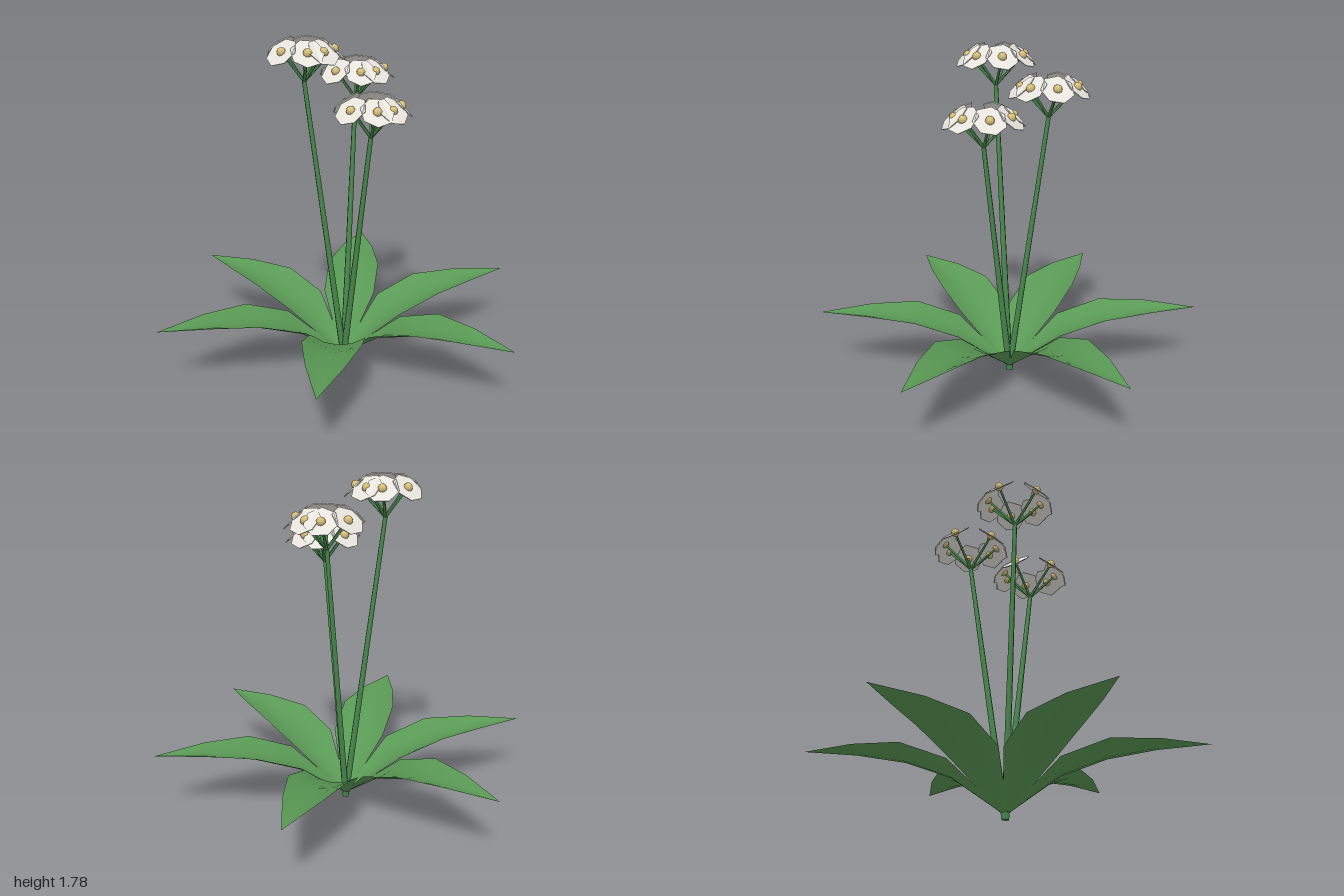
import * as THREE from 'three';

const Y = new THREE.Vector3(0, 1, 0);

function material(name, color, side = THREE.FrontSide) {
  const m = new THREE.MeshStandardMaterial({ color, side });
  m.name = name;
  return m;
}

// tapered rod between two points
function rod(name, a, b, r0, r1, sides, mat) {
  const dir = b.clone().sub(a);
  const mesh = new THREE.Mesh(new THREE.CylinderGeometry(r1, r0, dir.length(), sides), mat);
  mesh.name = name;
  mesh.position.copy(a).add(b).multiplyScalar(0.5);
  mesh.quaternion.setFromUnitVectors(Y, dir.normalize());
  return mesh;
}

// arching leaf with a sunken midrib, pointing along -z
function leafGeometry() {
  // distance from centre, midrib height, half width, edge lift
  const stations = [
    [0.01, 0.03, 0.018, 0.004],
    [0.275, 0.22, 0.145, 0.05],
    [0.51, 0.305, 0.15, 0.05],
    [0.757, 0.347, 0.092, 0.022],
    [1.018, 0.362, 0.001, 0],
  ];
  const geo = new THREE.PlaneGeometry(2, 1, 4, stations.length - 1);
  const p = geo.attributes.position;
  for (let i = 0; i < p.count; i++) {
    const u = p.getX(i);
    const row = Math.round((p.getY(i) + 0.5) * (stations.length - 1));
    const [r, h, w, lift] = stations[row];
    p.setXYZ(i, u * w, h + lift * u * u, -r);
  }
  geo.computeVertexNormals();
  return geo;
}

export function createModel() {
  const model = new THREE.Group();
  model.name = 'floweringPlant';

  const leafGreen = material('leaf green', 0x5a9a55, THREE.DoubleSide);
  const stemGreen = material('stem green', 0x4a8a4e);
  const petalWhite = material('petal white', 0xf0ede6);
  const pollenGold = material('pollen gold', 0xd8c078);

  // rosette of six leaves
  const leafGeo = leafGeometry();
  for (let i = 0; i < 6; i++) {
    const leaf = new THREE.Mesh(leafGeo, leafGreen);
    leaf.name = 'leaf';
    leaf.rotation.y = -1.374 + (i * Math.PI) / 3;
    model.add(leaf);
  }

  // three leaning stems, each carrying an umbel of seven florets
  const petalGeo = new THREE.CylinderGeometry(0.085, 0.083, 0.005, 7).toNonIndexed();
  petalGeo.computeVertexNormals();
  const centreGeo = new THREE.SphereGeometry(0.023, 10, 8);
  const golden = Math.PI * (3 - Math.sqrt(5));
  for (let s = 0; s < 3; s++) {
    const a = (-s * 2 * Math.PI) / 3;
    const top = new THREE.Vector3(0.2 * Math.cos(a), 1.3 + 0.13 * s, 0.2 * Math.sin(a));
    const flower = new THREE.Group();
    flower.name = 'flowerStalk';
    flower.add(rod('stem', new THREE.Vector3(0, 0.003, 0), top, 0.019, 0.012, 6, stemGreen));

    for (let k = 0; k < 7; k++) {
      const g = -1.84 + k * golden;
      const offset = new THREE.Vector3(0.147 * Math.cos(g), 0.157, 0.147 * Math.sin(g));
      const tip = top.clone().add(offset);
      flower.add(rod('pedicel', top, tip, 0.008, 0.006, 5, stemGreen));

      const petals = new THREE.Mesh(petalGeo, petalWhite);
      petals.name = 'petals';
      petals.position.copy(tip);
      petals.quaternion.setFromUnitVectors(Y, offset.normalize());
      const centre = new THREE.Mesh(centreGeo, pollenGold);
      centre.name = 'flowerCentre';
      centre.position.copy(tip).addScaledVector(offset, 0.004);
      flower.add(petals, centre);
    }
    model.add(flower);
  }
  return model;
}
